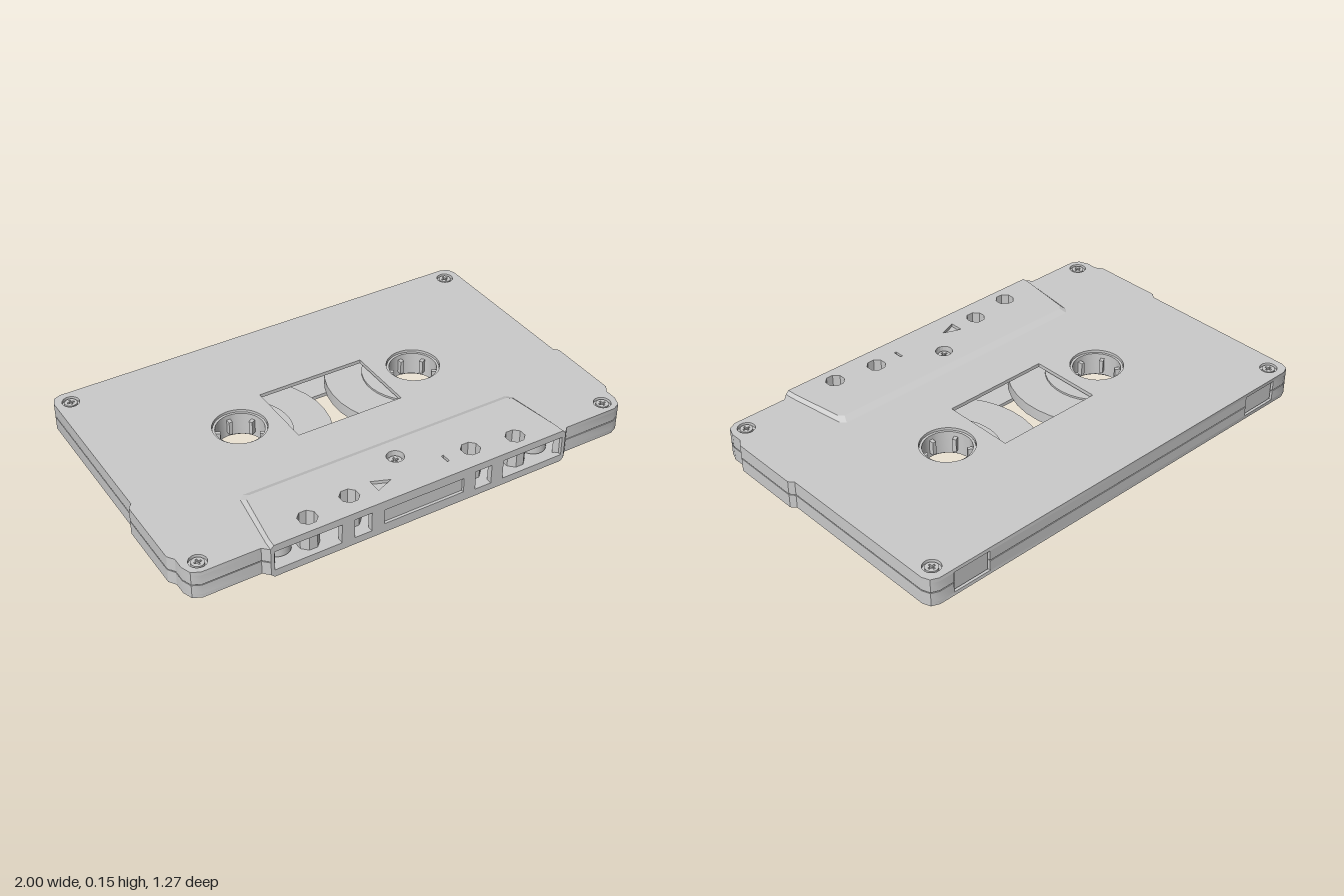
import * as THREE from 'three';
import { toCreasedNormals } from 'three/addons/utils/BufferGeometryUtils.js';

const MID = 0.075; // height of the seam between the two shell halves
const material = new THREE.MeshStandardMaterial({ color: 0xcccccc, side: THREE.DoubleSide });
const V = (p) => new THREE.Vector2(p[0], p[1]);
const path = (pts) => new THREE.Path(pts.map(V));

function circle(x, z, r, n = 32) {
  return Array.from({ length: n }, (_, i) => {
    const a = ((i + 0.5) / n) * Math.PI * 2;
    return [x + r * Math.cos(a), z + r * Math.sin(a)];
  });
}
const rect = (x0, x1, y0, y1) => [[x0, y0], [x1, y0], [x1, y1], [x0, y1]];

// Horizontal plate: (x, z) outline extruded between two heights
function slabGeometry(outline, y0, y1, holes = []) {
  const shape = new THREE.Shape(outline.map(V));
  shape.holes = holes.map(path);
  const g = new THREE.ExtrudeGeometry(shape, { depth: y1 - y0, bevelEnabled: false });
  return g.rotateX(Math.PI / 2).translate(0, y1, 0);
}

function add(parent, name, geometry) {
  const mesh = new THREE.Mesh(geometry, material);
  mesh.name = name;
  parent.add(mesh);
  return mesh;
}
const slab = (parent, name, outline, y0, y1, holes) =>
  add(parent, name, toCreasedNormals(slabGeometry(outline, y0, y1, holes), 0.5));

function box(parent, name, x0, x1, y0, y1, z0, z1) {
  const g = new THREE.BoxGeometry(x1 - x0, y1 - y0, z1 - z0);
  return add(parent, name, g.translate((x0 + x1) / 2, (y0 + y1) / 2, (z0 + z1) / 2));
}

// Right half of the outline, front to back; the left half is mirrored
const sideOutline = [[0.665, 0.632], [0.69, 0.607], [0.93, 0.607], [0.965, 0.59], [0.98, 0.55], [0.98, 0.5],
  [1, 0.47], [1, 0.16], [0.982, 0.14], [0.98, -0.59], [0.967, -0.622], [0.935, -0.635]];
const tabNotch = [[0.87, -0.635], [0.87, -0.613], [0.7, -0.613], [0.7, -0.635]];
const mirrored = (half) => [...half, ...half.map(([x, z]) => [-x, z]).reverse()];
const scaled = (pts, s) => pts.map(([x, z]) => [x * s, z * s]);

const REEL_X = 0.41, REEL_Z = -0.07;
const guideHoles = [[0.47, 0.56], [0.275, 0.535], [-0.275, 0.535], [-0.47, 0.56]];
const screws = [[0.915, 0.55], [-0.915, 0.55], [0.915, -0.57], [-0.915, -0.57], [0, 0.425]];

// One shell half: face plate, raised head area and screws
function createHalf() {
  const half = new THREE.Group();
  const guides = guideHoles.map(([x, z]) => circle(x, z, 0.04, 8));
  const window = rect(-0.24, 0.24, -0.215, 0.1);
  const reels = [-1, 1].map((s) => circle(s * REEL_X, REEL_Z, 0.112, 36));
  slab(half, 'facePlate', mirrored(sideOutline), 0.12, 0.136,
    [...guides, window, ...reels, ...screws.map(([x, z]) => circle(x, z, 0.036, 16))]);

  // Raised trapezoid with sloping side and rear edges
  const base = mirrored([[0.665, 0.632], [0.662, 0.59], [0.625, 0.33], [0.605, 0.31]]);
  const arrow = [[-0.165, 0.505], [-0.165, 0.565], [-0.09, 0.535]];
  const slot = rect(0.152, 0.162, 0.515, 0.555);
  const raised = slabGeometry(base, 0.136, 0.15, [...guides, circle(0, 0.425, 0.036, 16), arrow, slot]);
  const p = raised.attributes.position;
  for (let i = 0; i < p.count; i++) {
    if (p.getY(i) < 0.14) continue;
    if (Math.abs(p.getX(i)) > 0.55) p.setX(i, p.getX(i) * 0.98);
    if (p.getZ(i) < 0.35) p.setZ(i, p.getZ(i) + 0.028);
  }
  raised.computeVertexNormals();
  add(half, 'raisedHeadArea', raised);

  // Sunken screws with a cross recess
  const a = 0.004, b = 0.015;
  const cross = [[a, a], [b, a], [b, -a], [a, -a], [a, -b], [-a, -b], [-a, -a], [-b, -a],
    [-b, a], [-a, a], [-a, b], [a, b]];
  for (const [x, z] of screws) {
    slab(half, 'screwSeat', circle(x, z, 0.04, 16), 0.1, 0.122);
    slab(half, 'screwHead', circle(x, z, 0.026, 16), 0.122, 0.133,
      [cross.map(([cx, cz]) => [x + cx, z + cz])]);
  }
  return half;
}

// Reel: tape pack, hub flange, toothed hub
function createReel() {
  const reel = new THREE.Group();
  slab(reel, 'tapePack', circle(0, 0, 0.372, 36), 0.05, 0.1, [circle(0, 0, 0.21, 36)]);
  slab(reel, 'hubFlange', circle(0, 0, 0.215, 36), 0.042, 0.108, [circle(0, 0, 0.105, 36)]);
  slab(reel, 'hub', circle(0, 0, 0.11, 36), 0.024, 0.126, [circle(0, 0, 0.1, 36)]);
  for (let i = 0; i < 6; i++) {
    const tooth = box(reel, 'hubTooth', 0.078, 0.103, 0.045, 0.105, -0.008, 0.008);
    tooth.rotation.y = Math.PI / 6 + (i * Math.PI) / 3;
  }
  return reel;
}

export function createModel() {
  const model = new THREE.Group();
  model.name = 'cassette';

  // Two identical halves, the lower one turned over
  const upper = createHalf();
  upper.name = 'upperShell';
  const lower = createHalf();
  lower.name = 'lowerShell';
  lower.rotation.z = Math.PI;
  lower.position.y = 2 * MID;
  model.add(upper, lower);

  // Perimeter wall, open at the front, with a thin seam groove
  const outer = mirrored([...sideOutline, ...tabNotch]);
  const wall = (s) => [...scaled(outer, s), ...scaled(outer, 0.95).reverse()];
  slab(model, 'lowerWall', wall(1), 0.03, 0.073);
  slab(model, 'seam', wall(0.994), 0.073, 0.077);
  slab(model, 'upperWall', wall(1), 0.077, 0.12);

  // Front wall with its openings
  const front = new THREE.Shape(rect(-0.665, 0.665, 0.03, 0.12).map(V));
  front.holes.push(path(rect(-0.18, 0.18, 0.042, 0.108)));
  for (const s of [-1, 1]) {
    for (const [a, b] of [[0.235, 0.31], [0.365, 0.65]]) {
      front.holes.push(path(rect(s * a, s * b, 0.032, 0.118)));
    }
  }
  const frontGeometry = new THREE.ExtrudeGeometry(front, { depth: 0.025, bevelEnabled: false });
  add(model, 'frontWall', frontGeometry.translate(0, 0, 0.607));
  box(model, 'pressurePad', -0.19, 0.19, 0.035, 0.115, 0.6, 0.62);
  box(model, 'innerPartition', -0.64, 0.64, 0.03, 0.12, 0.455, 0.465);

  // Guide tubes around the through holes
  for (const [x, z] of guideHoles) {
    slab(model, 'guideTube', circle(x, z, 0.046, 8), 0.03, 0.12, [circle(x, z, 0.04, 8)]);
  }

  for (const s of [-1, 1]) {
    const reel = createReel();
    reel.name = s > 0 ? 'leftReel' : 'rightReel';
    reel.position.set(s * REEL_X, 0, REEL_Z);
    model.add(reel);

    slab(model, 'tapeRoller', circle(s * 0.585, 0.53, 0.055, 24), 0.036, 0.114);
    const x = s * 0.785;
    box(model, 'rearTab', x - 0.078, x + 0.078, 0.036, 0.114, -0.629, -0.6);
  }
  return model;
}
